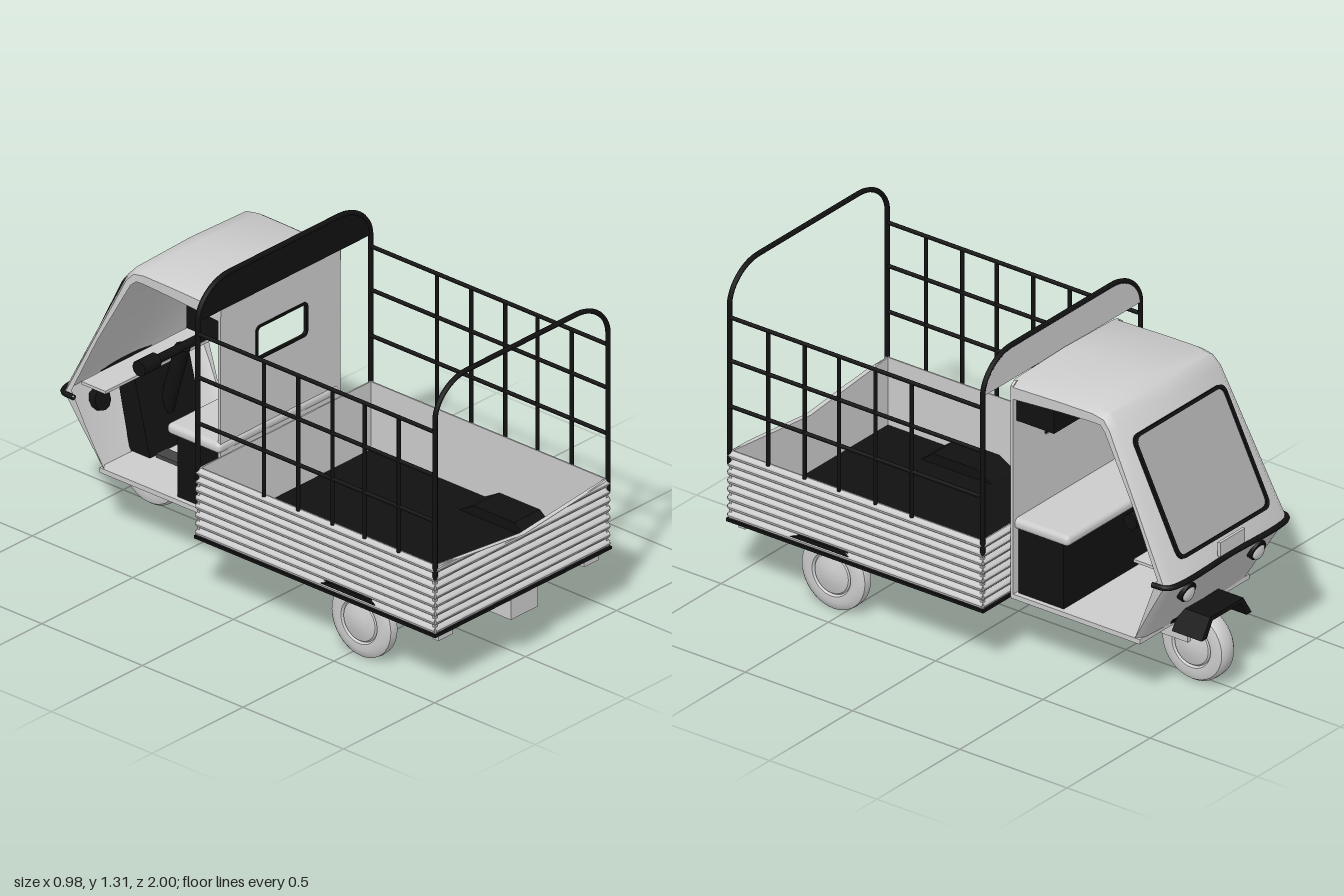
import * as THREE from 'three';
import { toCreasedNormals } from 'three/addons/utils/BufferGeometryUtils.js';
import { RoundedBoxGeometry } from 'three/addons/geometries/RoundedBoxGeometry.js';

const mat = (color) => new THREE.MeshStandardMaterial({ color, side: THREE.DoubleSide });
const grey = mat(0xcccccc), black = mat(0x111111), dark = mat(0x444444), glass = mat(0xaaaaaa);
const V = (x, y, z) => new THREE.Vector3(x, y, z);

export function createModel() {
  const model = new THREE.Group();
  const add = (name, geo, material = grey, x = 0, y = 0, z = 0) => {
    const m = new THREE.Mesh(geo, material);
    m.name = name;
    m.position.set(x, y, z);
    model.add(m);
    return m;
  };
  const box = (name, w, h, d, x, y, z, material) => add(name, new THREE.BoxGeometry(w, h, d), material, x, y, z);
  const rod = (name, a, b, r, material = black) => {
    const m = add(name, new THREE.CylinderGeometry(r, r, a.distanceTo(b), 10), material);
    m.position.copy(a).lerp(b, 0.5);
    m.quaternion.setFromUnitVectors(V(0, 1, 0), b.clone().sub(a).normalize());
    return m;
  };
  const poly = (pts) => new THREE.Shape(pts.map((p) => new THREE.Vector2(...p)));
  // outline in (z, y), extruded along x and centred
  const sideExtrude = (pts, width) =>
    new THREE.ExtrudeGeometry(poly(pts), { depth: width, bevelEnabled: false })
      .translate(0, 0, -width / 2).rotateY(-Math.PI / 2);
  const roundRect = (w, h, r, path = new THREE.Shape()) => {
    const x = w / 2, y = h / 2;
    path.moveTo(-x + r, -y).lineTo(x - r, -y).quadraticCurveTo(x, -y, x, -y + r).lineTo(x, y - r)
      .quadraticCurveTo(x, y, x - r, y).lineTo(-x + r, y).quadraticCurveTo(-x, y, -x, y - r)
      .lineTo(-x, -y + r).quadraticCurveTo(-x, -y, -x + r, -y);
    return path;
  };
  const frame = (w, h, r, t) => {
    const s = roundRect(w, h, r);
    s.holes.push(roundRect(w - 2 * t, h - 2 * t, r - t / 2, new THREE.Path()));
    return new THREE.ExtrudeGeometry(s, { depth: 0.012, bevelEnabled: false });
  };

  // Cargo bed: four ribbed walls around a black floor
  const wallGeo = (length) => {
    const pts = [[-0.02, 0.555], [-0.02, 0.27]], n = 48;
    for (let i = 0; i <= n; i++)
      pts.push([-0.014 + 0.014 * Math.abs(Math.sin((i / n) * Math.PI * 8)), 0.27 + (0.285 * i) / n]);
    return new THREE.ExtrudeGeometry(poly(pts), { depth: length, steps: 8, bevelEnabled: false })
      .translate(0, 0, -length / 2);
  };
  for (const s of [1, -1]) {
    add('bedSideWall', wallGeo(1.185), grey, s * 0.485, 0, 0.39).rotation.y = s > 0 ? 0 : Math.PI;
    const geo = wallGeo(0.955);
    if (s > 0) { // tailgate top edge dips in the middle
      const p = geo.attributes.position;
      for (let i = 0; i < p.count; i++)
        p.setY(i, Math.min(p.getY(i), 0.507 + 0.1 * Math.abs(p.getZ(i))));
      geo.computeVertexNormals();
    }
    add(s > 0 ? 'tailgate' : 'bedFrontWall', geo, grey, 0, 0, 0.39 + s * 0.6).rotation.y = -s * Math.PI / 2;
    // wheel arch inside the bed and lip outside
    add('wheelArch', sideExtrude([[0.37, 0.27], [0.45, 0.315], [0.65, 0.315], [0.71, 0.27]], 0.15), black, s * 0.4);
    add('archLip', sideExtrude([[0.42, 0.295], [0.47, 0.312], [0.63, 0.312], [0.69, 0.295]], 0.02), black, s * 0.478);
    box('rearBracket', 0.08, 0.04, 0.03, s * 0.4, 0.245, 0.95);
  }
  box('bedFloor', 0.97, 0.012, 1.2, 0, 0.268, 0.39, black);

  // Rack: two hoops, side bars and the filled arch panel
  const hoop = (z) => {
    const c = new THREE.CurvePath(), x = 0.475, t = 1.302;
    c.add(new THREE.LineCurve3(V(-x, 0.5, z), V(-x, 1.16, z)));
    c.add(new THREE.CubicBezierCurve3(V(-x, 1.16, z), V(-x, 1.23, z), V(-0.4, t, z), V(-0.3, t, z)));
    c.add(new THREE.LineCurve3(V(-0.3, t, z), V(0.3, t, z)));
    c.add(new THREE.CubicBezierCurve3(V(0.3, t, z), V(0.4, t, z), V(x, 1.23, z), V(x, 1.16, z)));
    c.add(new THREE.LineCurve3(V(x, 1.16, z), V(x, 0.5, z)));
    add('rackHoop', new THREE.TubeGeometry(c, 160, 0.01, 8), black);
  };
  hoop(0.98);
  hoop(-0.2);
  const arch = new THREE.Shape();
  arch.moveTo(-0.48, 1.16).bezierCurveTo(-0.48, 1.23, -0.4, 1.305, -0.3, 1.305).lineTo(0.3, 1.305)
    .bezierCurveTo(0.4, 1.305, 0.48, 1.23, 0.48, 1.16);
  add('archPanelFront', new THREE.ShapeGeometry(arch), black, 0, 0, -0.196);
  add('archPanelBack', new THREE.ShapeGeometry(arch), grey, 0, 0, -0.204);
  for (const x of [-0.475, 0.475]) {
    for (const y of [0.74, 0.93, 1.11]) rod('rackRail', V(x, y, -0.2), V(x, y, 0.98), 0.008);
    for (const z of [0.13, 0.3, 0.47, 0.63, 0.8]) rod('rackPost', V(x, 0.55, z), V(x, 1.11, z), 0.008);
  }

  // Cab shell: roof, screen and apron swept from sections (z, y, half width, edge depth)
  const sections = [
    [-0.215, 1.165, 0.33, 0.07], [-0.45, 1.173, 0.33, 0.06], [-0.6, 1.175, 0.33, 0.055], [-0.66, 1.163, 0.33, 0.05],
    [-0.7, 1.12, 0.335, 0.045], [-0.84, 0.845, 0.35, 0.035], [-0.97, 0.585, 0.365, 0.04],
    [-0.98, 0.555, 0.365, 0.06], [-0.9, 0.42, 0.35, 0.04], [-0.815, 0.275, 0.33, 0.02]];
  const verts = [], index = [], cols = 7;
  sections.forEach(([z, y, w, d], i) => {
    const a = sections[Math.max(i - 1, 0)], b = sections[Math.min(i + 1, sections.length - 1)];
    const len = Math.hypot(b[0] - a[0], b[1] - a[1]);
    const nz = -(b[1] - a[1]) / len, ny = (b[0] - a[0]) / len; // inward
    const row = [[-w, d], [-w, 0.02], [-w + 0.03, 0], [0, -0.008], [w - 0.03, 0], [w, 0.02], [w, d]];
    for (const [x, k] of row) verts.push(x, y + ny * k, z + nz * k);
    if (i) for (let j = 0; j < cols - 1; j++) {
      const p = (i - 1) * cols + j, q = p + cols;
      index.push(p, p + 1, q, p + 1, q + 1, q);
    }
  });
  const shell = new THREE.BufferGeometry();
  shell.setAttribute('position', new THREE.Float32BufferAttribute(verts, 3));
  shell.setIndex(index);
  add('cabShell', toCreasedNormals(shell, 0.7));

  // Windscreen lying on the sloped front
  const screen = new THREE.Group();
  screen.name = 'windscreen';
  const pane = new THREE.Mesh(new THREE.ShapeGeometry(roundRect(0.53, 0.48, 0.03)), glass);
  pane.position.z = 0.004;
  screen.add(pane, new THREE.Mesh(frame(0.55, 0.5, 0.04, 0.013), black));
  screen.position.set(0, 0.855, -0.846);
  screen.lookAt(0, 0.855 + 0.14, -0.846 - 0.28);
  model.add(screen);

  // Cab rear wall with window opening
  const wall = poly([[-0.33, 0.27], [0.33, 0.27], [0.33, 1.15], [0.31, 1.165], [-0.31, 1.165], [-0.33, 1.15]]);
  wall.holes.push(new THREE.Path(roundRect(0.27, 0.13, 0.02).getPoints().map((p) => p.add(new THREE.Vector2(0.005, 0.932)))));
  add('cabRearWall', new THREE.ExtrudeGeometry(wall, { depth: 0.012, bevelEnabled: false }), grey, 0, 0, -0.23);
  add('rearWindowSeal', frame(0.285, 0.143, 0.025, 0.01), black, 0.005, 0.932, -0.225);
  box('cabFloor', 0.66, 0.02, 0.6, 0, 0.275, -0.52);
  box('overheadBox', 0.62, 0.1, 0.18, 0, 1.05, -0.315, black);
  box('seatBase', 0.62, 0.28, 0.21, 0, 0.415, -0.345, black);
  add('seatCushion', new RoundedBoxGeometry(0.665, 0.045, 0.265, 4, 0.02), grey, -0.012, 0.572, -0.345);
  box('pedal', 0.06, 0.015, 0.12, -0.1, 0.293, -0.66, dark);

  // Dash, steering column and handlebar
  add('dashConsole', sideExtrude([[-0.73, 0.28], [-0.81, 0.6], [-0.9, 0.6], [-0.83, 0.28]], 0.3), black);
  box('dashShelf', 0.66, 0.012, 0.12, 0, 0.605, -0.85);
  rod('steeringColumn', V(0, 0.3, -0.82), V(0, 0.7, -0.705), 0.03);
  rod('handlebar', V(-0.22, 0.7, -0.705), V(0.22, 0.7, -0.705), 0.018);
  for (const s of [-1, 1]) {
    rod('handGrip', V(s * 0.15, 0.7, -0.705), V(s * 0.24, 0.7, -0.705), 0.032);
    // Headlamps
    rod('lampRim', V(s * 0.21, 0.49, -0.91), V(s * 0.21, 0.475, -0.957), 0.042);
    const lens = add('lampLens', new THREE.SphereGeometry(0.035, 20, 12), grey, s * 0.21, 0.475, -0.954);
    lens.scale.z = 0.4;
  }
  // Waist trim and plate
  const trim = new THREE.CatmullRomCurve3([V(-0.372, 0.56, -0.91), V(-0.358, 0.56, -0.975), V(0, 0.56, -0.988),
    V(0.358, 0.56, -0.975), V(0.372, 0.56, -0.91)], false, 'centripetal');
  add('waistTrim', new THREE.TubeGeometry(trim, 48, 0.011, 8), black);
  box('plate', 0.15, 0.058, 0.012, 0, 0.61, -0.992);

  // Chassis, axle and leaf springs
  box('chassisBeam', 0.15, 0.085, 1.84, 0.005, 0.222, 0.07);
  rod('rearAxle', V(-0.38, 0.155, 0.55), V(0.38, 0.155, 0.55), 0.009, grey);
  for (const s of [-1, 1])
    add('leafSpring', sideExtrude([[0.92, 0.262], [0.8, 0.2], [0.66, 0.168], [0.45, 0.168], [0.35, 0.2], [0.2, 0.262],
      [0.23, 0.264], [0.4, 0.235], [0.55, 0.222], [0.7, 0.235], [0.88, 0.264]], 0.04), dark, s * 0.31);

  // Wheels: turned tyre and domed hub
  const wheel = (name, x, z, half) => {
    const R = 0.149, h = half;
    const pts = [[0, h + 0.012], [0.04, h + 0.008], [0.078, h - 0.004], [0.084, h - 0.012], [0.09, h - 0.002],
      [0.115, h], [0.138, h - 0.008], [R - 0.002, h * 0.55], [R, 0]];
    const profile = [...pts, ...pts.slice(0, -1).reverse().map(([r, y]) => [r, -y])].reverse();
    const geo = new THREE.LatheGeometry(profile.map((p) => new THREE.Vector2(...p)), 40).rotateZ(Math.PI / 2);
    add(name, toCreasedNormals(geo, 0.6), grey, x, 0.153, z);
  };
  wheel('rearWheelLeft', 0.387, 0.55, 0.033);
  wheel('rearWheelRight', -0.387, 0.55, 0.033);
  wheel('frontWheel', 0.01, -0.845, 0.045);

  // Front suspension and mudguard
  rod('frontDamper', V(-0.07, 0.12, -0.85), V(-0.07, 0.28, -0.83), 0.013);
  for (let i = 0; i < 6; i++) {
    const coil = add('damperCoil', new THREE.TorusGeometry(0.015, 0.006, 6, 14), black, -0.07, 0.15 + i * 0.02, -0.845);
    coil.rotation.x = Math.PI / 2;
  }
  rod('frontAxle', V(-0.075, 0.153, -0.845), V(0.05, 0.153, -0.845), 0.014);
  const guard = poly([[-0.15, 0.25], [-0.1, 0.33], [0.1, 0.33], [0.15, 0.25], [0.12, 0.25], [0.085, 0.312],
    [-0.085, 0.312], [-0.12, 0.25]]);
  add('frontMudguard', new THREE.ExtrudeGeometry(guard, { depth: 0.14, bevelEnabled: false }), black, 0, 0, -0.97);
  return model;
}
